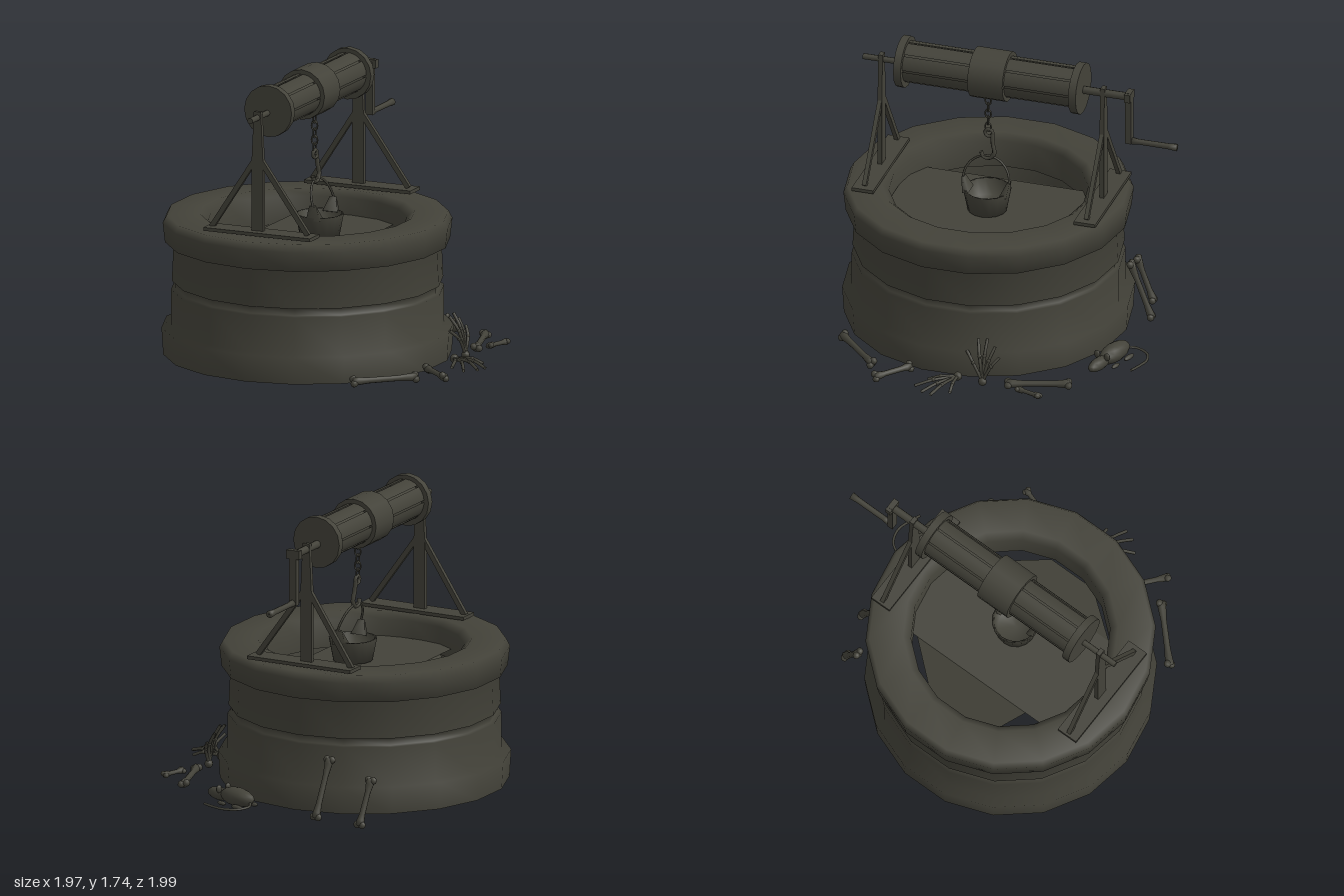
import * as THREE from 'three';

const stone = new THREE.MeshStandardMaterial({ color: 0x434239, side: THREE.DoubleSide });
stone.name = 'dark olive stone';

const V = (x, y, z) => new THREE.Vector3(x, y, z);
const CX = -0.15, CZ = 0.14; // centre of the well
const UP = V(0, 1, 0);

export function createModel() {
  const model = new THREE.Group();

  const add = (name, geo, x = 0, y = 0, z = 0, parent = model) => {
    const m = new THREE.Mesh(geo, stone);
    m.name = name;
    m.position.set(x, y, z);
    parent.add(m);
    return m;
  };
  const box = (name, w, h, d, x, y, z) => add(name, new THREE.BoxGeometry(w, h, d), x, y, z);
  const lathe = (pts, seg) => new THREE.LatheGeometry(pts.map(p => new THREE.Vector2(...p)), seg);
  const tube = (name, pts, r, seg = 16) =>
    add(name, new THREE.TubeGeometry(new THREE.CatmullRomCurve3(pts), seg, r, 6));
  // turn a y-aligned mesh so that it runs from a to b
  const between = (m, a, b) => {
    m.position.copy(a).add(b).multiplyScalar(0.5);
    m.quaternion.setFromUnitVectors(UP, b.clone().sub(a).normalize());
    return m;
  };
  // cylinder along z
  const rod = (name, r, z0, z1, x, y, seg = 16) => {
    const g = new THREE.CylinderGeometry(r, r, Math.abs(z1 - z0), seg).rotateX(Math.PI / 2);
    return add(name, g, x, y, (z0 + z1) / 2);
  };

  // stepped wall with a heavy lip, open below
  add('wellWall', lathe([
    [0.835, 0.07], [0.845, 0.23], [0.79, 0.24], [0.79, 0.455], [0.765, 0.46], [0.765, 0.5],
    [0.785, 0.505], [0.775, 0.725], [0.825, 0.735], [0.838, 0.85], [0.815, 0.893],
    [0.62, 0.897], [0.575, 0.86], [0.57, 0.7],
  ], 18), CX, 0, CZ);

  // folded floor inside the shaft: a level strip with drooping sides
  const floor = (name, pts) => {
    const g = new THREE.BufferGeometry();
    g.setAttribute('position', new THREE.Float32BufferAttribute(pts.flat(), 3));
    g.setIndex(Array.from({ length: pts.length - 2 }, (_, i) => [0, i + 1, i + 2]).flat());
    g.computeVertexNormals();
    add(name, g);
  };
  floor('floorStrip', [[-0.46, 0.76, -0.45], [-0.46, 0.76, 0.7], [0.18, 0.76, 0.7], [0.18, 0.76, -0.45]]);
  floor('floorSideRight', [[-0.46, 0.76, -0.3], [-0.7, 0.58, 0], [-0.7, 0.58, 0.32], [-0.46, 0.76, 0.48]]);
  floor('floorSideLeft', [[0.18, 0.76, -0.22], [0.18, 0.76, 0.6], [0.43, 0.6, 0.3], [0.43, 0.6, 0]]);

  // windlass supports, front and back
  for (const z of [0.79, -0.555]) {
    box('supportFoot', 0.68, 0.02, 0.13, -0.135, 0.915, z);
    const s = new THREE.Shape([[-0.037, 0.91], [0.037, 0.91], [0.037, 1.32], [0.022, 1.63], [-0.022, 1.63], [-0.037, 1.32]]
      .map(p => new THREE.Vector2(...p)));
    add('supportPost', new THREE.ExtrudeGeometry(s, { depth: 0.026, bevelEnabled: false }), -0.155, 0, z - 0.013);
    for (const [x0, x1] of [[-0.45, -0.175], [0.17, -0.135]])
      between(add('supportBrace', new THREE.BoxGeometry(0.03, 0.5, 0.025)), V(x0, 0.92, z), V(x1, 1.34, z));
  }

  // drum of curved boards between end flanges
  rod('drumCore', 0.105, 0.64, -0.42, CX, 1.61);
  for (let i = 0; i < 8; i++) {
    const g = new THREE.CylinderGeometry(0.122, 0.122, 1.06, 3, 1, true, i * Math.PI / 4, 0.7);
    add('drumBoard', g.rotateX(Math.PI / 2), CX, 1.61, 0.11);
  }
  rod('drumFlangeFront', 0.152, 0.67, 0.625, CX, 1.605);
  rod('drumFlangeBack', 0.152, -0.39, -0.435, CX, 1.605);
  rod('ropeWrap', 0.148, 0.222, 0.01, CX, 1.61);

  // axle and crank
  rod('axle', 0.018, 0.9, 0.66, -0.155, 1.595, 8);
  rod('crankAxle', 0.024, -0.43, -0.72, -0.155, 1.595, 8);
  box('crankArm', 0.045, 0.33, 0.035, -0.155, 1.462, -0.71);
  box('crankHub', 0.085, 0.05, 0.035, -0.155, 1.6, -0.71);
  add('crankHandle', lathe([[0, -0.135], [0.022, -0.135], [0.017, -0.1], [0.018, 0.09], [0.023, 0.135], [0, 0.135]], 8),
    -0.155, 1.31, -0.865).rotation.x = -Math.PI / 2;

  // chain links, turned alternately
  for (let i = 0; i < 5; i++) {
    const l = add('chainLink', new THREE.TorusGeometry(0.018, 0.005, 5, 10), -0.11, 1.455 - i * 0.043, 0.13);
    l.scale.y = 1.5;
    l.rotation.y = i % 2 ? 0.2 : Math.PI / 2;
  }
  // hook
  add('hookEye', new THREE.TorusGeometry(0.024, 0.011, 6, 10), -0.11, 1.245, 0.125).rotation.y = Math.PI / 2;
  tube('hook', [V(-0.11, 1.24, 0.105), V(-0.105, 1.18, 0.1), V(-0.1, 1.12, 0.09), V(-0.1, 1.085, 0.12),
    V(-0.1, 1.09, 0.155), V(-0.1, 1.12, 0.17)], 0.013);

  // bucket with a hoop handle
  add('bucket', lathe([[0, 0.765], [0.115, 0.765], [0.14, 0.895], [0.127, 0.895], [0.105, 0.8], [0, 0.8]], 16), -0.08, 0, 0.125);
  const hoop = [];
  for (let i = 0; i <= 10; i++) {
    const a = Math.PI * i / 10;
    hoop.push(V(-0.055 - 0.045 * Math.sin(a), 0.96 + 0.14 * Math.sin(a), 0.125 + 0.14 * Math.cos(a)));
  }
  tube('bucketHandle', hoop, 0.007, 24);
  for (const s of [-1, 1]) {
    const ear = add('bucketEar', new THREE.CylinderGeometry(0.025, 0.065, 0.09, 4, 1).rotateY(Math.PI / 4), -0.06, 0.925, 0.125 + s * 0.125);
    ear.scale.z = 0.45;
    ear.rotation.x = s * 0.3;
  }

  // loose bones: slim shaft, two knobs at each end
  const bone = (name, a, b, r = 0.017) => {
    const h = a.distanceTo(b) / 2, g = new THREE.Group();
    g.name = name;
    add('shaft', lathe([[0, -h], [r * 1.3, -h + 0.01], [r * 1.2, -h + 0.04], [r * 0.9, -h * 0.5], [r * 0.85, h * 0.4],
      [r * 1.2, h - 0.04], [r * 1.3, h - 0.01], [0, h]], 8), 0, 0, 0, g);
    for (const y of [-h + 0.014, h - 0.014]) for (const s of [-1, 1])
      add('knob', new THREE.SphereGeometry(r * 1.1, 8, 6), s * r * 0.8, y, 0, g);
    model.add(between(g, a, b));
  };
  bone('leaningBone', V(-0.59, 0.03, -0.72), V(-0.61, 0.3, -0.61), 0.02);
  bone('leaningBone', V(-0.34, 0.06, -0.79), V(-0.36, 0.4, -0.65), 0.02);
  bone('longBone', V(0.63, 0.1, -0.61), V(0.74, 0.1, -0.25), 0.02);
  bone('shortBone', V(0.83, 0.1, -0.49), V(0.78, 0.1, -0.33), 0.015);
  bone('shortBone', V(0.7, 0.1, 0.33), V(0.9, 0.1, 0.5), 0.019);
  bone('longBone', V(0.46, 0.1, 0.83), V(0.75, 0.1, 0.55), 0.02);

  // skeletal hands: each finger fans out from a wrist
  const hand = (name, wrist, tips) => {
    add(name + 'Wrist', new THREE.SphereGeometry(0.026, 8, 6)).position.copy(wrist);
    for (const t of tips) {
      const mid = wrist.clone().lerp(t, 0.55).add(V(0.015, 0.018, 0));
      tube(name + 'Finger', [wrist, mid, t], 0.0095, 8);
      add(name + 'Knuckle', new THREE.SphereGeometry(0.013, 6, 5)).position.copy(mid);
    }
  };
  hand('leaningHand', V(0.74, 0.09, -0.11), [V(0.7, 0.24, -0.2), V(0.67, 0.29, -0.165), V(0.66, 0.33, -0.115),
    V(0.66, 0.32, -0.06), V(0.69, 0.25, 0)]);
  hand('flatHand', V(0.74, 0.1, 0.04), [V(0.92, 0.085, 0.03), V(0.98, 0.085, 0.13), V(0.96, 0.085, 0.19),
    V(0.9, 0.085, 0.25), V(0.8, 0.085, 0.2)]);

  // dead rat with a curled tail
  const rat = new THREE.Group();
  rat.name = 'rat';
  rat.position.set(0.25, 0.11, -0.72);
  rat.rotation.y = -0.32;
  model.add(rat);
  const blob = (name, x, y, z, a, b, c) => add(name, new THREE.SphereGeometry(1, 12, 8), x, y, z, rat).scale.set(a, b, c);
  blob('ratBody', -0.05, 0, 0, 0.13, 0.055, 0.06);
  blob('ratHead', 0.1, -0.01, 0, 0.095, 0.038, 0.038);
  for (const s of [-1, 1]) {
    blob('ratEar', 0.07, 0.03, s * 0.035, 0.012, 0.024, 0.02);
    blob('ratFrontLeg', 0.02, -0.04, s * 0.06, 0.035, 0.012, 0.014);
    blob('ratHindLeg', -0.11, -0.04, s * 0.06, 0.045, 0.014, 0.016);
  }
  tube('ratTail', [V(0.12, 0.1, -0.75), V(0.075, 0.09, -0.82), V(0.11, 0.085, -0.9), V(0.19, 0.085, -0.93),
    V(0.27, 0.085, -0.91), V(0.34, 0.085, -0.88)], 0.008, 20);

  return model;
}
